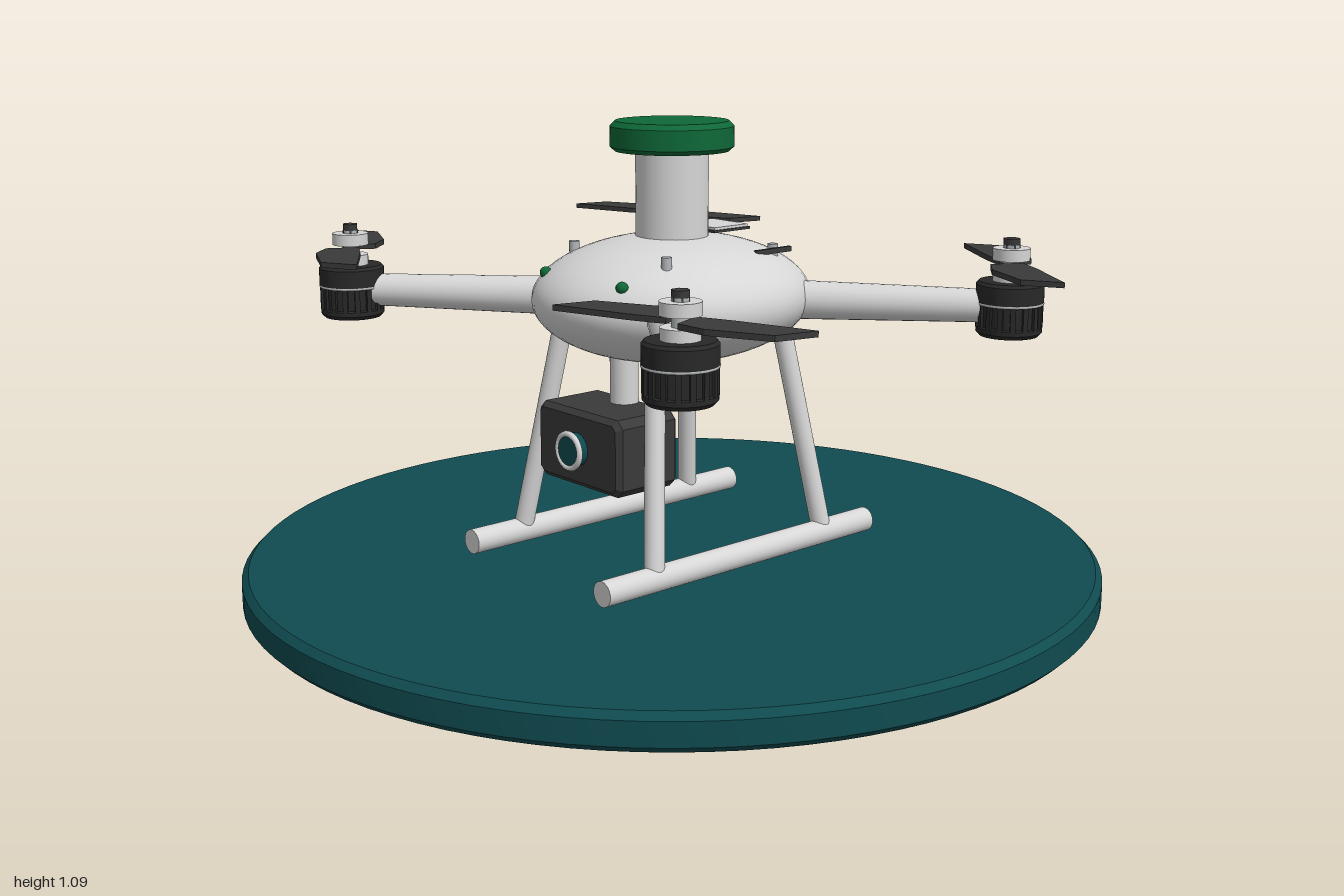
import * as THREE from 'three';
import { toCreasedNormals } from 'three/addons/utils/BufferGeometryUtils.js';

const mat = (name, color) => {
  const m = new THREE.MeshStandardMaterial({ color });
  m.name = name;
  return m;
};

export function createModel() {
  const shell = mat('light grey shell', 0xd6d6d6);
  const dark = mat('dark grey', 0x3a3a3a);
  const black = mat('motor black', 0x282828);
  const teal = mat('teal', 0x0f4b50);
  const green = mat('green', 0x0e6838);
  const metal = mat('metal', 0xb4b8ba);

  const root = new THREE.Group();
  root.name = 'quadcopterOnPad';

  const add = (name, geo, m, pos = [0, 0, 0], parent = root) => {
    const mesh = new THREE.Mesh(geo, m);
    mesh.name = name;
    mesh.position.set(...pos);
    parent.add(mesh);
    return mesh;
  };
  // Turned part from [radius, height] pairs, bottom to top
  const turned = (pts, seg = 48) =>
    toCreasedNormals(new THREE.LatheGeometry(pts.map(p => new THREE.Vector2(...p)), seg), 0.5);
  // Tapered rod between two points
  const rod = (name, a, b, ra, rb, m, parent = root) => {
    const A = new THREE.Vector3(...a), B = new THREE.Vector3(...b);
    const d = B.clone().sub(A);
    const mesh = add(name, new THREE.CylinderGeometry(rb, ra, d.length(), 24), m,
      A.clone().add(B).multiplyScalar(0.5).toArray(), parent);
    mesh.quaternion.setFromUnitVectors(new THREE.Vector3(0, 1, 0), d.normalize());
    return mesh;
  };

  // Landing pad
  add('landingPad', turned([[0, 0], [0.985, 0], [1, 0.015], [1, 0.068], [0.985, 0.083], [0, 0.083]], 96), teal);

  // Body shell
  const R = [0.303, 0.146, 0.337], bodyY = 0.685;
  add('body', new THREE.SphereGeometry(1, 48, 32), shell, [0, bodyY, 0]).scale.set(...R);
  const surfaceY = (x, z) => bodyY + R[1] * Math.sqrt(1 - (x / R[0]) ** 2 - (z / R[2]) ** 2);

  // Mast and cap
  add('mast', new THREE.CylinderGeometry(0.084, 0.084, 0.3, 40), shell, [0, 0.88, 0]);
  add('mastCap', turned([[0, 1.02], [0.132, 1.02], [0.142, 1.03], [0.142, 1.076], [0.13, 1.088], [0, 1.088]]), green);

  // Rear hatch, with a dark seam plate below it
  add('hatchSeam', new THREE.BoxGeometry(0.128, 0.006, 0.112), dark, [0, 0.832, -0.13]);
  add('hatch', new THREE.BoxGeometry(0.12, 0.008, 0.104), shell, [0, 0.837, -0.13]);

  for (const sx of [-1, 1]) {
    // Side vents
    add('sideVent', new THREE.BoxGeometry(0.009, 0.012, 0.11), dark, [sx * 0.178, 0.794, -0.15]);
    // Body screws
    for (const z of [-0.165, 0.158]) {
      add('screw', new THREE.CylinderGeometry(0.012, 0.012, 0.04, 16), metal,
        [sx * 0.162, surfaceY(0.162, z) + 0.002, z]);
    }
    // Front lights
    add('frontLight', new THREE.SphereGeometry(0.014, 16, 12), green,
      [sx * 0.135, surfaceY(0.135, 0.262), 0.262]);
    // Skids and legs
    rod('skid', [sx * 0.24, 0.117, -0.41], [sx * 0.24, 0.117, 0.41], 0.029, 0.029, shell);
    for (const sz of [-1, 1]) {
      rod('leg', [sx * 0.24, 0.117, sz * 0.262], [sx * 0.16, 0.64, sz * 0.19], 0.023, 0.023, shell);
    }
  }

  // Propeller: two swept blades, seen in plan
  const bladeShape = new THREE.Shape([
    [0.02, 0.02], [0.1, 0.028], [0.28, 0.031], [0.236, -0.051], [0.1, -0.073], [0.03, -0.056],
  ].reverse().map(p => new THREE.Vector2(...p)));
  const bladeGeo = new THREE.ExtrudeGeometry(bladeShape, { depth: 0.012, bevelEnabled: false });
  bladeGeo.rotateX(-Math.PI / 2);

  const motorGeo = turned([[0, 0.615], [0.066, 0.615], [0.074, 0.624], [0.074, 0.634],
    [0.069, 0.637], [0.069, 0.688], [0.076, 0.691], [0.076, 0.732], [0.07, 0.739], [0, 0.739]]);

  // Arms, motors and propellers
  for (const sx of [-1, 1]) for (const sz of [-1, 1]) {
    const x = sx * 0.588, z = sz * 0.495;
    rod('arm', [sx * 0.15, 0.68, sz * 0.15], [x, 0.68, z], 0.046, 0.037, shell);
    const unit = new THREE.Group();
    unit.name = 'rotorUnit';
    unit.position.set(x, 0, z);
    root.add(unit);
    add('motor', motorGeo, black, [0, 0, 0], unit);
    for (let i = 0; i < 16; i++) {
      const a = i * Math.PI / 8;
      const rib = add('motorRib', new THREE.BoxGeometry(0.008, 0.056, 0.012), black,
        [Math.cos(a) * 0.071, 0.662, Math.sin(a) * 0.071], unit);
      rib.rotation.y = -a;
    }
    const rim = add('motorRim', new THREE.TorusGeometry(0.073, 0.004, 8, 40), metal, [0, 0.69, 0], unit);
    rim.rotation.x = Math.PI / 2;
    add('hubBase', new THREE.CylinderGeometry(0.04, 0.04, 0.025, 32), shell, [0, 0.751, 0], unit);
    add('shaft', new THREE.CylinderGeometry(0.018, 0.018, 0.085, 20), metal, [0, 0.778, 0], unit);
    add('hubTop', new THREE.CylinderGeometry(0.042, 0.042, 0.027, 32), shell, [0, 0.8, 0], unit);
    add('hubNut', new THREE.CylinderGeometry(0.019, 0.019, 0.024, 6), dark, [0, 0.823, 0], unit);
    const prop = new THREE.Group();
    prop.name = 'propeller';
    prop.rotation.y = THREE.MathUtils.degToRad(sx * sz > 0 ? 15 : -35);
    unit.add(prop);
    for (const turn of [0, Math.PI]) {
      add('blade', bladeGeo, dark, [0, 0.77, 0], prop).rotation.y = turn;
    }
  }

  // Camera hanging under the nose
  add('cameraStrut', new THREE.CylinderGeometry(0.033, 0.033, 0.2, 24), shell, [0, 0.53, 0.145]);
  const w = 0.147, h = 0.088, c = 0.018;
  const face = new THREE.Shape([[-w + c, -h], [w - c, -h], [w, -h + c], [w, h - c],
    [w - c, h], [-w + c, h], [-w, h - c], [-w, -h + c]].map(p => new THREE.Vector2(...p)));
  const housing = new THREE.ExtrudeGeometry(face, {
    depth: 0.152, bevelSize: 0.012, bevelOffset: -0.012, bevelThickness: 0.012, bevelSegments: 1,
  });
  add('cameraHousing', housing, dark, [0, 0.367, 0.12]);
  rod('lensBarrel', [0, 0.367, 0.27], [0, 0.367, 0.312], 0.038, 0.038, teal);
  add('lensRing', new THREE.TorusGeometry(0.039, 0.007, 10, 40), shell, [0, 0.367, 0.308]);

  return root;
}
